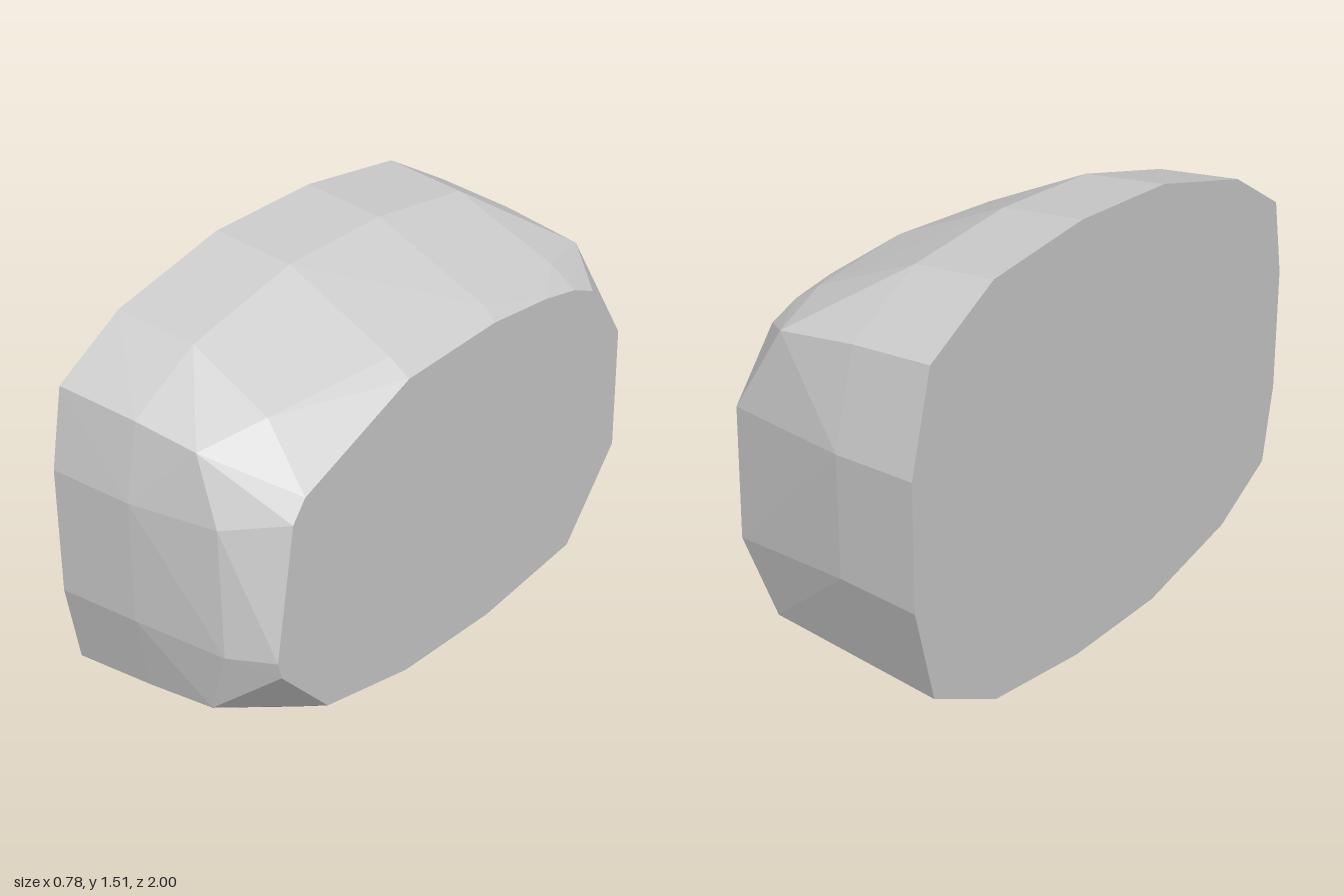
import * as THREE from 'three';
import { ConvexGeometry } from 'three/addons/geometries/ConvexGeometry.js';

// Faceted, rounded block with a flat cut on its left and right side
export function createModel() {
  const group = new THREE.Group();
  const points = [];
  const add = (x, y, z) => points.push(new THREE.Vector3(x, y, z));

  // Widest outline, [z, y], on the right cut
  const outline = [
    [0.25, 1.51], [-0.19, 1.52], [-0.62, 1.465], [-0.91, 1.3],
    [-1, 0.97], [-1, 0.54], [-0.92, 0.21], [-0.62, 0.055],
    [-0.19, 0.005], [0.25, 0.01], [0.69, 0.11], [0.95, 0.26],
    [1, 0.54], [1, 0.98], [0.95, 1.25], [0.69, 1.405],
  ];
  // The same outline, slightly shrunk, further to the left
  for (const [z, y] of outline) {
    add(-0.39, y, z);
    add(-0.09, 0.76 + (y - 0.76) * 0.963, z * 0.985);
  }

  // Shoulder, [x, y, z], where the block bends inwards
  const shoulder = [
    [0.31, 1.3, 0.25], [0.33, 1.31, -0.19], [0.29, 1.28, -0.62], [0.21, 1.24, -0.88],
    [0.27, 0.25, -0.89], [0.35, 0.135, -0.19], [0.34, 0.145, 0.25], [0.27, 0.205, 0.66],
    [0.16, 0.3, 0.92], [0.24, 0.535, 0.94], [0.22, 0.975, 0.93], [0.13, 1.195, 0.91],
    [0.21, 1.245, 0.69],
  ];
  for (const p of shoulder) add(...p);

  // Outline of the left cut, [z, y]
  const cut = [
    [0.25, 1.25], [-0.18, 1.27], [-0.46, 1.245], [-0.62, 1.215], [-0.73, 1.17],
    [-0.905, 0.95], [-0.915, 0.5], [-0.66, 0.2], [-0.19, 0.153], [0.25, 0.17],
    [0.64, 0.255], [0.85, 0.48], [0.865, 0.54], [0.785, 0.99], [0.73, 1.06],
  ];
  for (const [z, y] of cut) add(0.387, y, z);

  const body = new THREE.Mesh(
    new ConvexGeometry(points),
    new THREE.MeshStandardMaterial({ color: 0xcccccc, flatShading: true })
  );
  body.name = 'body';
  group.add(body);
  return group;
}
